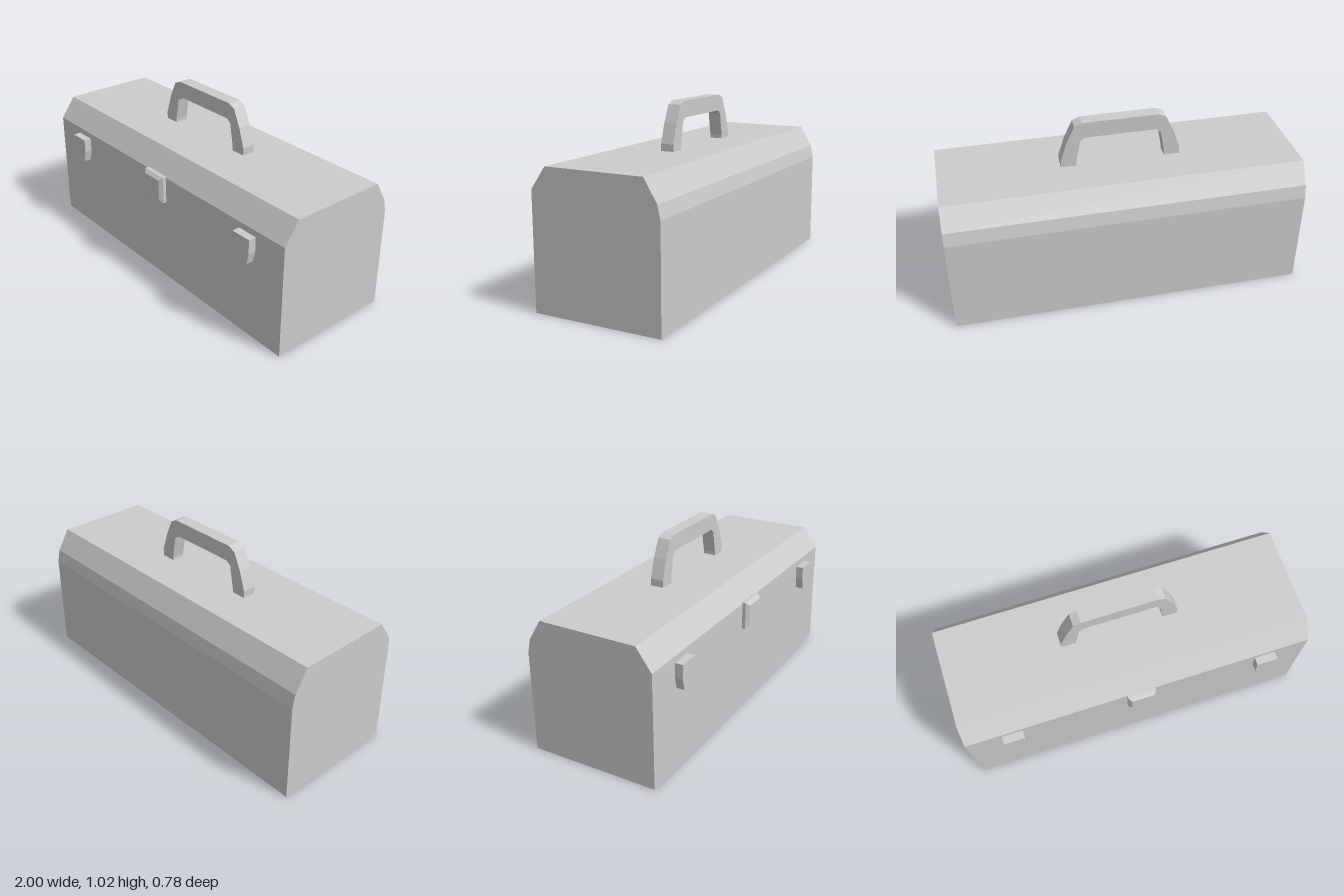
import * as THREE from 'three';

const material = new THREE.MeshStandardMaterial({ color: 0xcccccc, flatShading: true });

// Extrudes an outline from z0 to z1, optionally with a chamfer added at the ends
function extrude(name, points, z0, z1, bevel = 0) {
  const shape = new THREE.Shape(points.map(([x, y]) => new THREE.Vector2(x, y)));
  const geometry = new THREE.ExtrudeGeometry(shape, {
    depth: z1 - z0, bevelEnabled: bevel > 0,
    bevelThickness: bevel, bevelSize: bevel, bevelSegments: 1,
  });
  geometry.translate(0, 0, z0);
  const mesh = new THREE.Mesh(geometry, material);
  mesh.name = name;
  return mesh;
}

// Closes a half outline by mirroring it across x = 0
const mirrored = (half) => [...half, ...half.map(([x, y]) => [-x, y]).reverse()];

export function createModel() {
  const group = new THREE.Group();
  group.name = 'toolbox';

  // Box with chamfered lid: side profile as (z, y), extruded along x
  const body = extrude('body', [
    [0.345, 0], [0.345, 0.64], [0.259, 0.76], [-0.299, 0.76],
    [-0.372, 0.64], [-0.388, 0.565], [-0.388, 0],
  ], -1, 1);
  body.geometry.rotateY(-Math.PI / 2);
  group.add(body);

  // Carrying handle, slightly off centre
  const handle = extrude('handle', mirrored([
    [0.25, 0.755], [0.25, 0.78], [0.227, 0.91], [0.2, 0.932],
  ].reverse().concat([
    [0.336, 0.755], [0.336, 0.8], [0.3, 0.91], [0.255, 1.005], [0.212, 1.024],
  ])), -0.073, 0.002);
  handle.position.x = -0.009;
  group.add(handle);

  // Pair of tapered latches
  for (const [name, x] of [['rightLatch', -0.737], ['leftLatch', 0.743]]) {
    const latch = extrude(name, mirrored([
      [0.06, 0.605], [0.06, 0.525], [0.046, 0.462],
    ]), 0.34, 0.389);
    latch.position.x = x;
    group.add(latch);
  }

  // Chamfered lock plate; its rear chamfer is buried in the body
  const lock = extrude('lock', mirrored([[0.062, 0.628], [0.062, 0.508]]), 0.31, 0.364, 0.018);
  lock.position.x = 0.005;
  group.add(lock);

  return group;
}
